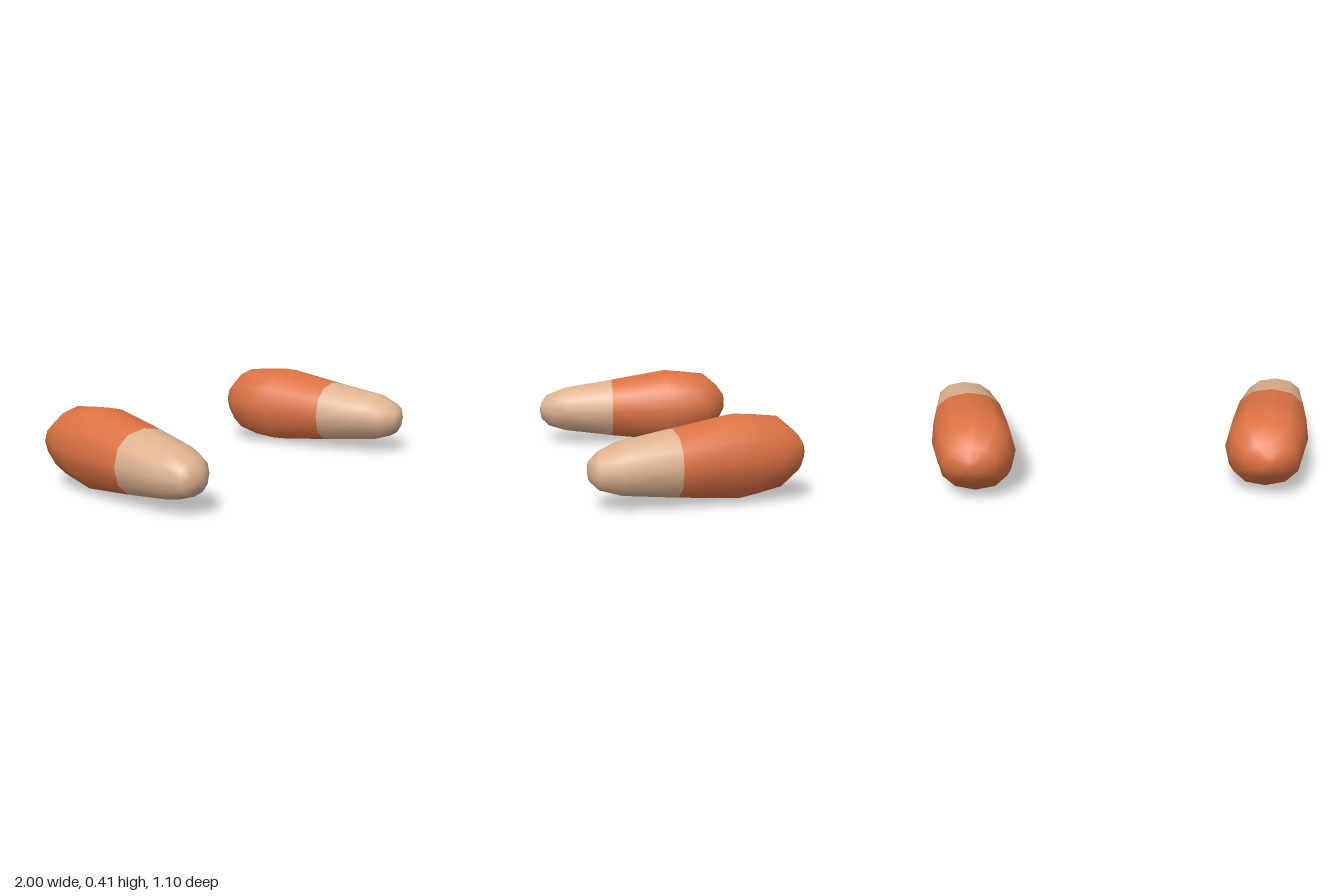
import * as THREE from 'three';

// Cross-sections from toe to heel: inner x, inner z, outer x, outer z, bottom y, top y
const SECTIONS = [
  [0.81, 0.495, 0.92, 0.48, 0.13, 0.23],
  [0.74, 0.44, 0.965, 0.455, 0.09, 0.27],
  [0.695, 0.36, 1.0, 0.345, 0.06, 0.31],
  [0.615, 0.11, 0.99, 0.07, 0.03, 0.355],
  [0.552, -0.2, 0.963, -0.22, 0.002, 0.41],
  [0.53, -0.31, 0.943, -0.3, 0.016, 0.402],
  [0.545, -0.43, 0.912, -0.43, 0.045, 0.388],
  [0.605, -0.51, 0.87, -0.52, 0.125, 0.315],
  [0.69, -0.548, 0.79, -0.553, 0.175, 0.265],
];
const SEAM = 3; // the section where the toe colour ends
const SIDES = 12;
const TOE_TIP = [0.865, 0.18, 0.5];
const HEEL_TIP = [0.74, 0.22, -0.555];

// Slightly squared ellipse
const soften = (v) => Math.sign(v) * Math.pow(Math.abs(v), 0.88);

function footGeometry(side, shiftZ) {
  const positions = [];
  const index = [];
  const add = (x, y, z) => positions.push(side * x, y, z + shiftZ);
  const face = (a, b, c) => (side > 0 ? index.push(a, b, c) : index.push(a, c, b));

  for (const [xi, zi, xo, zo, y0, y1] of SECTIONS) {
    for (let j = 0; j < SIDES; j++) {
      const angle = (j / SIDES) * Math.PI * 2;
      const c = soften(Math.cos(angle));
      const s = soften(Math.sin(angle));
      const t = (c + 1) / 2;
      add(xi + (xo - xi) * t, (y0 + y1) / 2 + ((y1 - y0) / 2) * s, zi + (zo - zi) * t);
    }
  }
  const toe = SECTIONS.length * SIDES;
  const heel = toe + 1;
  add(...TOE_TIP);
  add(...HEEL_TIP);

  // Toe cap, rings, then heel cap
  const last = SECTIONS.length - 1;
  let seamStart = 0;
  for (let j = 0; j < SIDES; j++) face(toe, j, (j + 1) % SIDES);
  for (let i = 0; i < last; i++) {
    if (i === SEAM) seamStart = index.length;
    for (let j = 0; j < SIDES; j++) {
      const k = (j + 1) % SIDES;
      const a = i * SIDES + j;
      const b = i * SIDES + k;
      face(a, a + SIDES, b + SIDES);
      face(a, b + SIDES, b);
    }
  }
  for (let j = 0; j < SIDES; j++) face(heel, last * SIDES + ((j + 1) % SIDES), last * SIDES + j);

  const geometry = new THREE.BufferGeometry();
  geometry.setAttribute('position', new THREE.Float32BufferAttribute(positions, 3));
  geometry.setIndex(index);
  geometry.addGroup(0, seamStart, 0);
  geometry.addGroup(seamStart, index.length - seamStart, 1);
  geometry.computeVertexNormals();
  return geometry;
}

export function createModel() {
  const toeBeige = new THREE.MeshStandardMaterial({ color: 0xdfb391 });
  toeBeige.name = 'toe beige';
  const heelOrange = new THREE.MeshStandardMaterial({ color: 0xdd7344 });
  heelOrange.name = 'heel orange';

  const model = new THREE.Group();
  model.name = 'feet';
  // The right foot stands a little further forward
  for (const [name, side, shiftZ] of [['leftFoot', 1, 0], ['rightFoot', -1, 0.045]]) {
    const foot = new THREE.Mesh(footGeometry(side, shiftZ), [toeBeige, heelOrange]);
    foot.name = name;
    model.add(foot);
  }
  return model;
}
